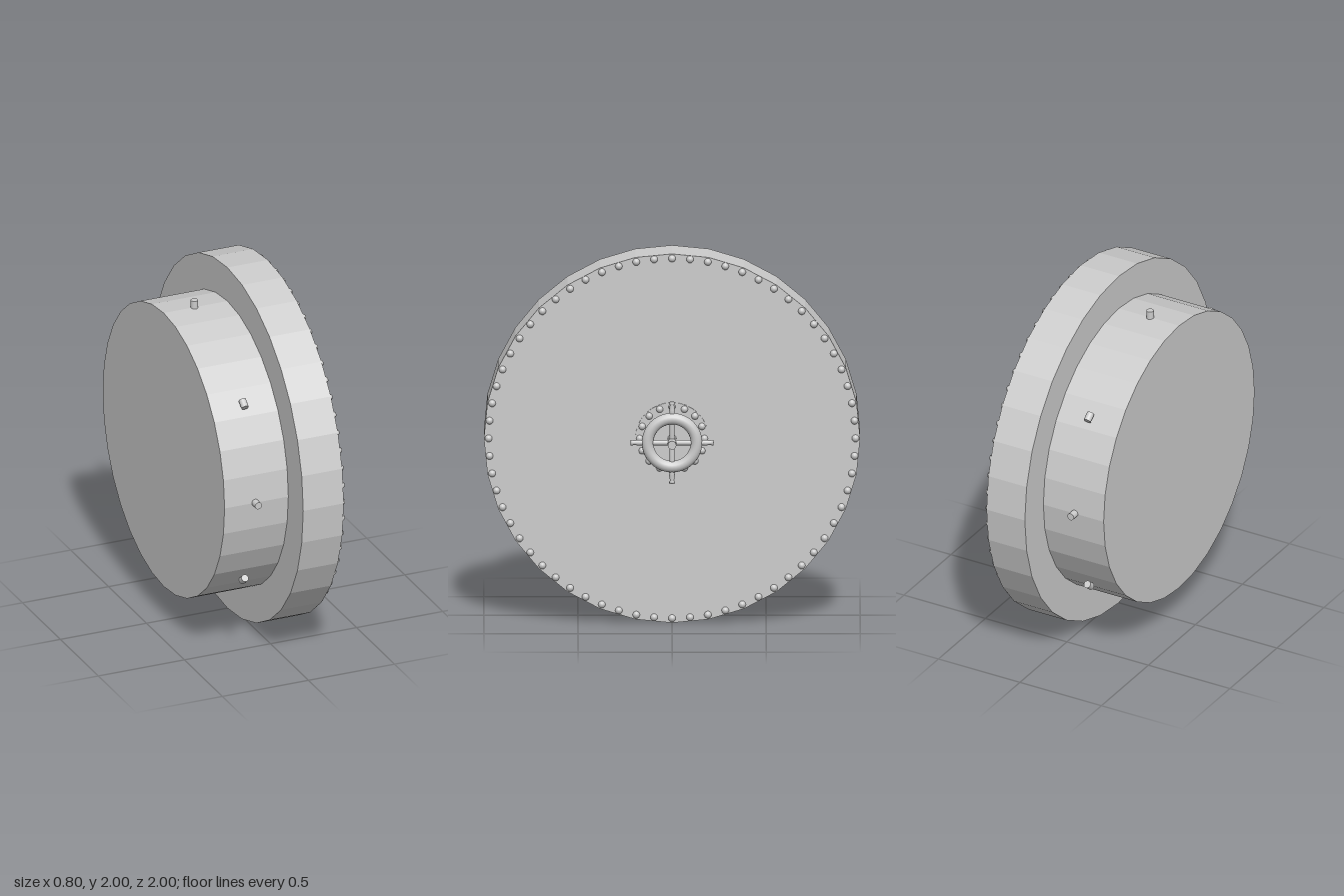
import * as THREE from 'three';

const CY = 1; // height of the door's axis, which runs along x

export function createModel() {
  const door = new THREE.Group();
  door.name = 'vaultDoor';
  const flat = new THREE.MeshStandardMaterial({ color: 0xcccccc, flatShading: true });
  const smooth = new THREE.MeshStandardMaterial({ color: 0xcccccc });

  const add = (parent, name, geometry, material) => {
    const mesh = new THREE.Mesh(geometry, material);
    mesh.name = name;
    parent.add(mesh);
    return mesh;
  };
  const addGroup = (name) => {
    const group = new THREE.Group();
    group.name = name;
    door.add(group);
    return group;
  };
  // Cylinder lying along x, from x0 to x1
  const disc = (radius, x0, x1, sides) =>
    new THREE.CylinderGeometry(radius, radius, x1 - x0, sides)
      .rotateZ(-Math.PI / 2).translate((x0 + x1) / 2, 0, 0);

  // Door body
  add(door, 'rearDrum', disc(0.803, -0.4, -0.03, 32), flat);
  add(door, 'frontPlate', disc(1, -0.03, 0.205, 32), flat);
  add(door, 'hubPlate', disc(0.195, 0.2, 0.211, 32), flat);

  // Rings of domed rivets
  const rivet = new THREE.SphereGeometry(0.02, 12, 8);
  const rivetRing = (name, count, radius, x, offset) => {
    const ring = addGroup(name);
    for (let i = 0; i < count; i++) {
      const a = (i + offset) * 2 * Math.PI / count;
      add(ring, 'rivet', rivet, smooth).position.set(x, radius * Math.cos(a), radius * Math.sin(a));
    }
  };
  rivetRing('rimRivets', 64, 0.975, 0.203, 0);
  rivetRing('hubRivets', 16, 0.172, 0.205, 0);

  // Locking pins around the drum: four upright to it, four lying aslant
  const pins = addGroup('lockingPins');
  const pin = new THREE.CylinderGeometry(0.02, 0.02, 0.048, 16);
  const addPin = (y, z, tilt) => {
    const mesh = add(pins, 'lockingPin', pin, smooth);
    mesh.position.set(-0.222, y, z);
    mesh.rotation.x = tilt;
  };
  for (const s of [1, -1]) {
    addPin(s * 0.822, 0, 0);
    addPin(0, s * 0.822, Math.PI / 2);
    for (const t of [1, -1]) addPin(s * 0.515, t * 0.65, -s * t * 0.9);
  }

  // Hand wheel
  const wheel = addGroup('handWheel');
  wheel.position.x = 0.322;
  add(wheel, 'wheelRim', new THREE.TorusGeometry(0.13, 0.031, 16, 40).rotateY(Math.PI / 2), smooth);
  add(wheel, 'axle', disc(0.023, -0.12, 0.073, 16), smooth);

  // Spokes running through the rim into handles with flared ends
  const profile = [[0, 0], [0.014, 0], [0.014, 0.17], [0.016, 0.175], [0.011, 0.205],
    [0.015, 0.21], [0.015, 0.22], [0, 0.222]].map(([r, y]) => new THREE.Vector2(r, y));
  const spoke = new THREE.LatheGeometry(profile, 14);
  for (let i = 0; i < 4; i++) add(wheel, 'spokeHandle', spoke, smooth).rotation.x = i * Math.PI / 2;

  door.children.forEach((part) => { part.position.y += CY; });
  const model = new THREE.Group();
  model.add(door);
  return model;
}
